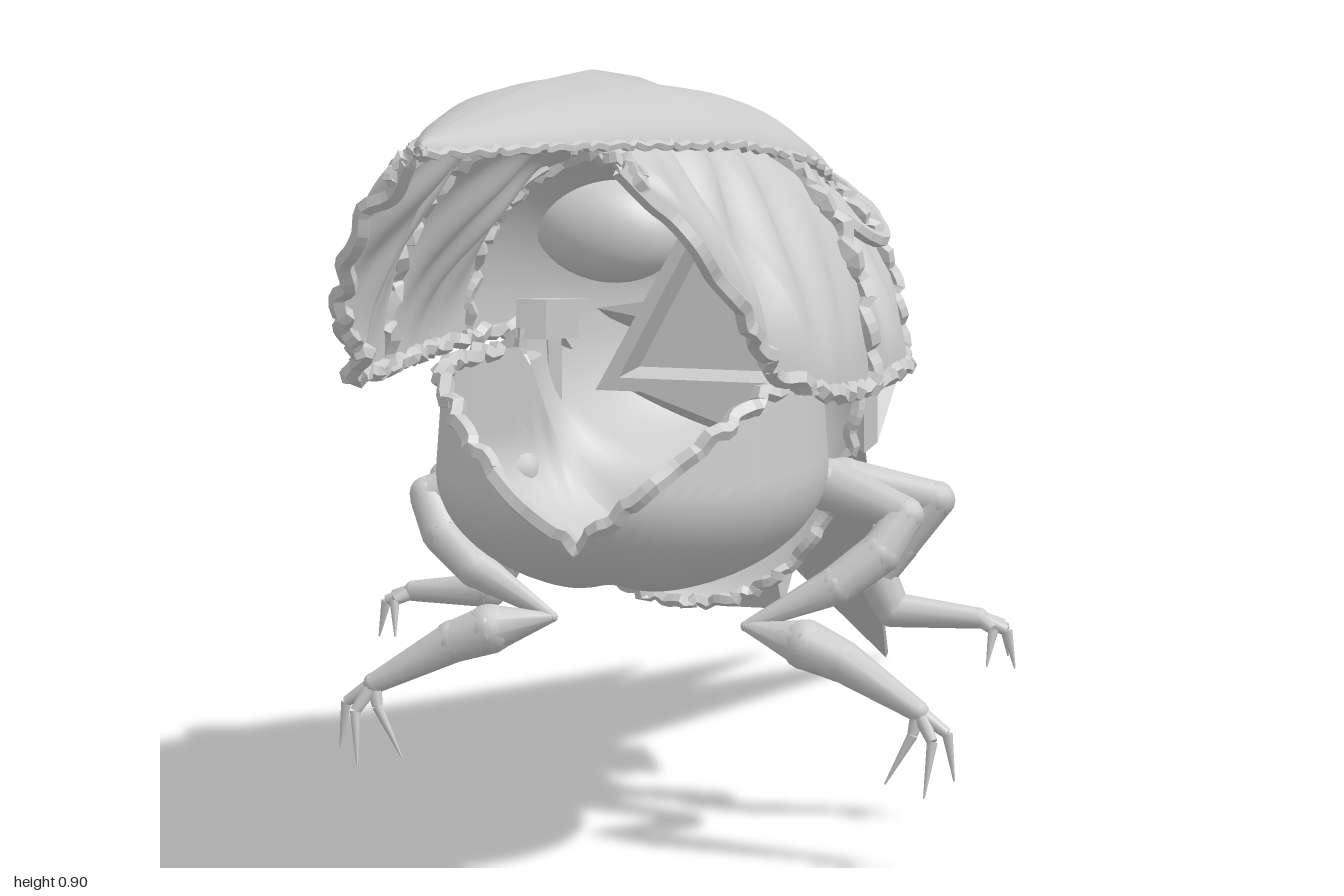
import * as THREE from 'three';
import { ParametricGeometry } from 'three/addons/geometries/ParametricGeometry.js';
import { ConvexGeometry } from 'three/addons/geometries/ConvexGeometry.js';

const smooth = new THREE.MeshStandardMaterial({ color: 0xcccccc, side: THREE.DoubleSide });
const flat = new THREE.MeshStandardMaterial({ color: 0xcccccc, side: THREE.DoubleSide, flatShading: true });
const V = (x, y, z) => new THREE.Vector3(x, y, z);
const gauss = (x, w) => Math.exp(-(x / w) * (x / w));

// Reads a table of [z, a, b, ...] rows (falling z) at a given z
function sample(rows, z) {
  let i = 0;
  while (i < rows.length - 2 && z < rows[i + 1][0]) i++;
  const a = rows[i], b = rows[i + 1];
  const t = THREE.MathUtils.clamp((a[0] - z) / (a[0] - b[0]), 0, 1);
  return a.slice(1).map((v, k) => v + (b[k + 1] - v) * t);
}

// z, half width, crown height, edge height
const SHIELD = [
  [1, 0.004, 0.885, 0.875], [0.97, 0.018, 0.889, 0.873], [0.9, 0.04, 0.892, 0.868], [0.8, 0.068, 0.896, 0.862],
  [0.6, 0.118, 0.9, 0.845], [0.4, 0.16, 0.892, 0.825], [0.2, 0.187, 0.865, 0.79], [0.05, 0.18, 0.825, 0.75],
  [-0.1, 0.145, 0.77, 0.7], [-0.2, 0.11, 0.725, 0.66], [-0.23, 0.1, 0.69, 0.635], [-0.32, 0.075, 0.62, 0.58]];
// z, half width, top height, bottom height
const SHELL = [
  [0.69, 0.11, 0.845, 0.82], [0.66, 0.17, 0.85, 0.76], [0.6, 0.215, 0.855, 0.67], [0.53, 0.225, 0.855, 0.61],
  [0.5, 0.215, 0.85, 0.6], [0.46, 0.25, 0.85, 0.575], [0.4, 0.265, 0.845, 0.56], [0.25, 0.27, 0.825, 0.55],
  [0.1, 0.272, 0.79, 0.55], [0, 0.24, 0.765, 0.555], [-0.1, 0.21, 0.725, 0.55], [-0.2, 0.17, 0.675, 0.55],
  [-0.28, 0.09, 0.63, 0.55]];

function shieldPoint(u, v, p) {
  const z = 1 - 1.32 * u, [w, top, edge] = sample(SHIELD, z);
  const a = v * Math.PI * 2, c = Math.cos(a), s = Math.sin(a);
  const arch = edge + (top - edge) * Math.pow(1 - Math.abs(c) ** 2.4, 0.65);
  const ridge = 0.009 * gauss(c, 0.07) * Math.sin(Math.PI * u);
  p.set(w * c, s >= 0 ? arch + ridge - 0.006 : edge + (arch - edge) * 0.7 - 0.008, z);
}

function shellPoint(u, v, p) {
  const z = 0.69 - 0.97 * u, [w, top, bot] = sample(SHELL, z);
  const a = v * Math.PI, c = Math.cos(a), s = Math.max(0, Math.sin(a));
  // Each side carries two recessed cups with radiating folds
  const cup = z > 0.27 ? Math.sin(Math.PI * Math.min(1, (z - 0.27) / 0.41))
    : z > 0.03 ? Math.sin(Math.PI * (z - 0.03) / 0.24) : 0;
  const dent = cup * Math.sin(2 * a) ** 2 * (0.21 + 0.05 * Math.sin(z * 75 + s * 9));
  p.set(w * Math.sign(c) * Math.abs(c) ** 0.7 * (1 - dent), bot + (top - bot) * s ** 0.9, z);
}

// Open belly bowl: V-shaped dip in the front rim, open towards the rear bowl
function bellyPoint(u, v, p) {
  const a = u * Math.PI * 2, sx = Math.sin(a), cz = Math.cos(a), x = 0.21 * sx;
  const rim = 0.555 - (cz > 0 ? 0.16 * Math.max(0, 1 - Math.abs(x) / 0.19)
    : 0.19 * THREE.MathUtils.smoothstep(-cz, 0.55, 0.9));
  const y = rim + (0.315 - rim) * Math.sin(v * Math.PI / 2);
  const k = Math.sqrt(Math.max(0, 1 - (Math.max(0, 0.45 - y) / 0.135) ** 2)) * (1 - 0.35 * Math.max(0, y - 0.45));
  const crease = 1 - 0.06 * gauss(x * k, 0.025);
  p.set(x * k, y + 0.012 * gauss(x * k, 0.03) * v, 0.24 + 0.25 * cz * k * crease);
}

// Rear bowl, open to the front, with a hanging lip
function rearBowlPoint(u, v, p) {
  const a = Math.PI * u, r = Math.cos(v * Math.PI / 2);
  const lip = 0.125 * gauss(1 - r, 0.03);
  p.set(0.195 * Math.cos(a) * r, 0.56 - (0.18 + lip) * Math.sin(a) ** 0.8 * r ** 0.6, -0.27 * Math.sin(v * Math.PI / 2));
}

export function createModel() {
  const model = new THREE.Group();
  function add(name, geo, mat = smooth, parent = model) {
    const mesh = new THREE.Mesh(geo, mat);
    mesh.name = name;
    parent.add(mesh);
    return mesh;
  }
  const surface = (name, fn, nu, nv) => add(name, new ParametricGeometry(fn, nu, nv));

  surface('shield', shieldPoint, 80, 48);
  surface('bodyShell', shellPoint, 110, 60);
  surface('belly', bellyPoint, 64, 24);
  surface('rearBowl', rearBowlPoint, 40, 32);

  // Ragged rim that follows a surface edge
  function rim(name, fn, path, radius, n = 60) {
    const pts = [];
    for (let i = 0; i <= n; i++) {
      const p = V(0, 0, 0), j = radius * 0.5;
      fn(...path(i / n), p);
      pts.push(p.add(V(j * Math.sin(i * 2.3), j * Math.sin(i * 3.7 + 1), j * Math.sin(i * 5.1))));
    }
    add(name, new THREE.TubeGeometry(new THREE.CatmullRomCurve3(pts), n * 2, radius, 5), flat);
  }
  const atZ = z => (0.69 - z) / 0.97;
  for (const e of [0, 1]) rim('shellLowerRim', shellPoint, t => [t * 0.8, e], 0.01);
  rim('shellFrontRim', shellPoint, t => [0.01, t], 0.009);
  rim('shellRib', shellPoint, t => [atZ(0.27), t], 0.012);
  rim('shellRib', shellPoint, t => [atZ(0.03), t], 0.009);
  rim('bellyRim', bellyPoint, t => [t * 0.64 - 0.32, 0], 0.01);
  rim('rearBowlRim', rearBowlPoint, t => [t, 0], 0.008);
  for (const e of [0, 0.5]) rim('shieldEdge', shieldPoint, t => [t * 0.7, e], 0.005);

  // Three stacked rear blades: a ridged base, a thick middle and a narrow blunt tip
  function blade(name, z, y, w, up, down, tipY, tipZ) {
    const pts = [];
    for (const [t, width, thick] of [[0, 1, 1], [0.5, 0.5, 0.6], [1, 0.02, 0.12]]) {
      const cy = y + (tipY - y) * t, cz = z + (tipZ - z) * t;
      pts.push(V(-w * width, cy, cz), V(w * width, cy, cz), V(0, cy + up * thick, cz), V(0, cy - down * thick, cz));
    }
    add(name, new ConvexGeometry(pts), flat);
  }
  blade('upperBlade', -0.2, 0.635, 0.125, 0.04, 0.04, 0.383, -0.73);
  blade('middleBlade', -0.15, 0.565, 0.15, 0.025, 0.025, 0.215, -0.9);
  blade('lowerBlade', -0.17, 0.485, 0.155, 0.055, 0.055, 0.008, -1);

  // Triangular frame inside the body
  const tri = (shape, w, y0, y1) => shape.moveTo(-w, y0).lineTo(w, y0).lineTo(0, y1).closePath();
  const frame = new THREE.Shape(), hole = new THREE.Path();
  tri(frame, 0.115, 0.49, 0.7);
  tri(hole, 0.088, 0.505, 0.672);
  frame.holes.push(hole);
  add('innerFrame', new THREE.ExtrudeGeometry(frame, { depth: 0.1, bevelEnabled: false }), flat).position.z = -0.12;
  const plate = new THREE.Shape();
  tri(plate, 0.1, 0.495, 0.69);
  add('innerPlate', new THREE.ShapeGeometry(plate), flat).position.z = -0.11;

  // Tilted block below the rear bowl
  const block = add('lowerBlock', new THREE.BoxGeometry(0.13, 0.12, 0.13), flat);
  block.position.set(0, 0.305, -0.195);
  block.rotation.x = 0.62;

  // Tapered limb piece between two points
  function limb(parent, a, b, r1, r2) {
    const d = b.clone().sub(a);
    const m = add('legSegment', new THREE.CylinderGeometry(r2, r1, d.length(), 9), smooth, parent);
    m.position.copy(a).addScaledVector(d, 0.5);
    m.quaternion.setFromUnitVectors(V(0, 1, 0), d.normalize());
  }
  function leg(name, side, joints, claws) {
    const g = new THREE.Group();
    g.name = name;
    model.add(g);
    const pts = joints.map(([x, y, z]) => V(x * side, y, z));
    pts.forEach((p, i) => {
      const r = joints[i][3];
      add('joint', new THREE.SphereGeometry(r, 10, 8), smooth, g).position.copy(p);
      if (i) limb(g, pts[i - 1], p, joints[i - 1][3], r);
    });
    const foot = pts[pts.length - 1];
    for (const [x, y, z] of claws) {
      const end = V(x * side, y, z);
      const knuckle = foot.clone().lerp(end, 0.5).add(V(0.012 * side, 0.015, 0));
      limb(g, foot, knuckle, 0.009, 0.006);
      limb(g, knuckle, end, 0.006, 0.001);
    }
  }

  for (const side of [1, -1]) {
    // Eye
    const eye = add('eye', new THREE.SphereGeometry(1, 32, 20));
    eye.scale.set(0.085, 0.06, 0.052);
    eye.position.set(side * 0.12, 0.665, -0.085);
    eye.rotation.z = side * 0.15;

    // Round pit on the shoulder
    const pit = add('shoulderPit', new THREE.TorusGeometry(0.05, 0.009, 6, 18), flat);
    pit.position.set(side * 0.195, 0.715, 0.05);
    pit.rotation.set(-Math.PI / 2, side * 0.75, 0);

    // Cheek bracket: a bar, a block and a three-sided frame
    const bar = add('cheekBar', new THREE.BoxGeometry(0.035, 0.045, 0.18), flat);
    bar.position.set(side * 0.185, 0.56, -0.09);
    bar.rotation.x = -0.12;
    const block = add('cheekBlock', new THREE.BoxGeometry(0.03, 0.035, 0.05), flat);
    block.position.set(side * 0.21, 0.53, -0.03);
    block.rotation.z = side * -0.5;
    const bracket = add('cheekFrame', new THREE.TorusGeometry(0.065, 0.014, 4, 3), flat);
    bracket.position.set(side * 0.185, 0.49, -0.11);
    bracket.rotation.set(0, Math.PI / 2, 0);

    leg('frontLeg', side, [
      [0.18, 0.41, 0.08, 0.03], [0.275, 0.385, 0.11, 0.02], [0.25, 0.345, 0.13, 0.024], [0.205, 0.31, 0.15, 0.022],
      [0.11, 0.265, 0.175, 0.006], [0.18, 0.25, 0.185, 0.028], [0.22, 0.235, 0.188, 0.024], [0.31, 0.185, 0.2, 0.012],
    ], [[0.275, 0.105, 0.21], [0.322, 0.095, 0.225], [0.35, 0.11, 0.2]]);
    leg('rearLeg', side, [
      [0.18, 0.4, 0.01, 0.03], [0.285, 0.385, 0, 0.021], [0.24, 0.335, 0, 0.026], [0.215, 0.3, 0.005, 0.024],
      [0.235, 0.258, 0, 0.02], [0.33, 0.25, -0.015, 0.012],
    ], [[0.345, 0.2, 0.01], [0.372, 0.195, -0.015], [0.36, 0.205, -0.035]]);
  }
  return model;
}
